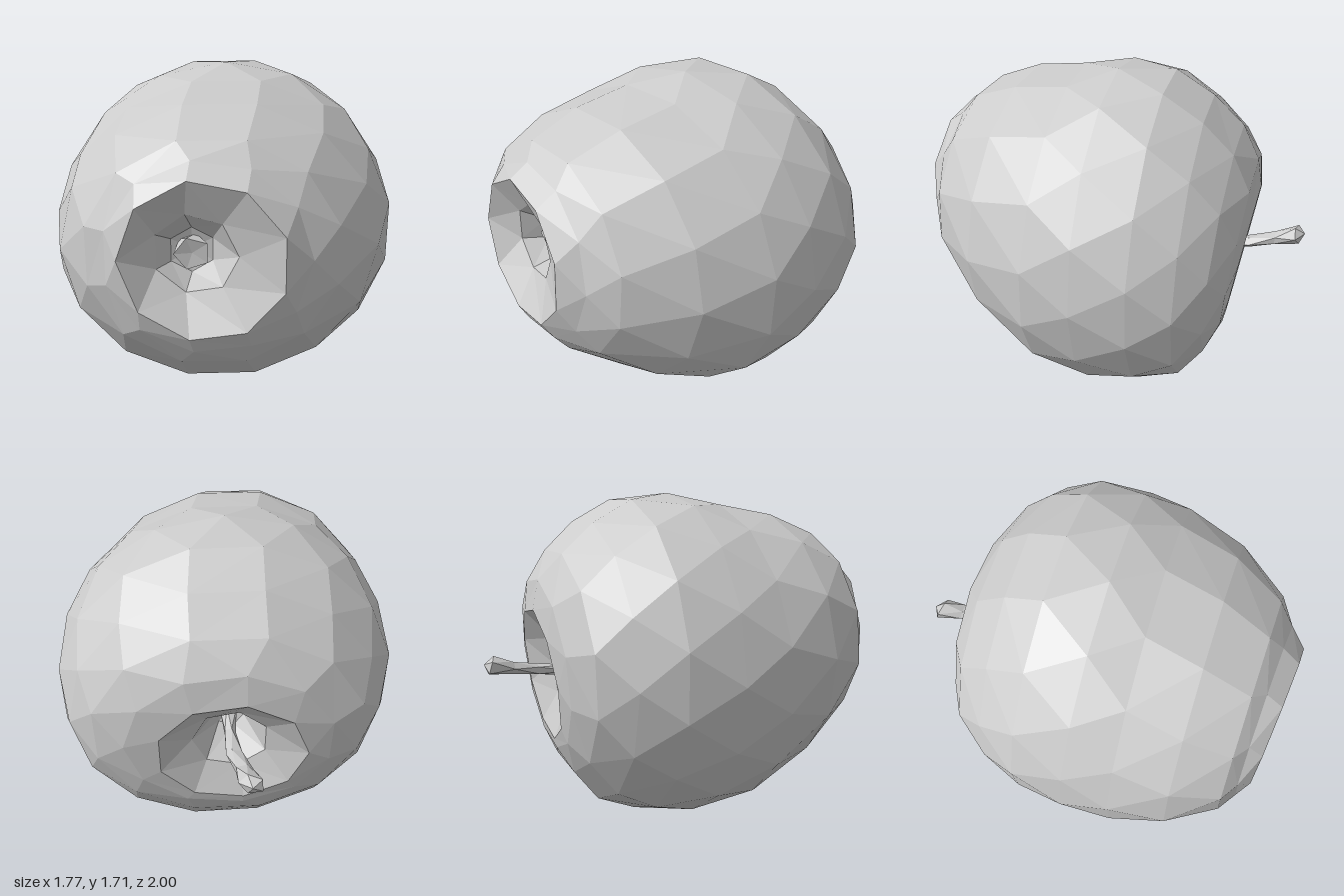
import * as THREE from 'three';

// Points of one ring: n corners, ellipse (rx, ry) about (cx, cy) at depth z, tilted by tx, ty
function ringPoints([n, z, cx, cy, rx = 0, ry = rx, tx = 0, ty = 0], offset) {
  return Array.from({ length: n }, (_, i) => {
    const a = ((i + offset) / n) * Math.PI * 2;
    const dx = rx * Math.cos(a), dy = ry * Math.sin(a);
    return [cx + dx, cy + dy, z + tx * dx + ty * dy];
  });
}

// Skin a list of rings, ordered front to back, whose corner counts may differ
function loft(name, rings) {
  const offsets = rings.map((_, k) => (k % 2) * 0.5);
  const loops = rings.map((r, k) => ringPoints(r, offsets[k]));
  const pos = [];
  for (let k = 0; k < loops.length - 1; k++) {
    const A = loops[k], B = loops[k + 1], na = A.length, nb = B.length;
    let i = 0, j = 0;
    while (i < na || j < nb) {
      const a = A[i % na], b = B[j % nb];
      const nextA = (i + 1 + offsets[k]) / na, nextB = (j + 1 + offsets[k + 1]) / nb;
      if (j >= nb || (i < na && nextA <= nextB)) {
        if (na > 1) pos.push(...a, ...b, ...A[(i + 1) % na]);
        i++;
      } else {
        if (nb > 1) pos.push(...a, ...b, ...B[(j + 1) % nb]);
        j++;
      }
    }
  }
  const geometry = new THREE.BufferGeometry();
  geometry.setAttribute('position', new THREE.Float32BufferAttribute(pos, 3));
  geometry.computeVertexNormals();
  const material = new THREE.MeshStandardMaterial({
    color: 0xcccccc, flatShading: true, side: THREE.DoubleSide,
  });
  const mesh = new THREE.Mesh(geometry, material);
  mesh.name = name;
  return mesh;
}

export function createModel() {
  const group = new THREE.Group();
  group.name = 'apple';

  // Fruit lying on its side: blossom hollow, flesh, then stem hollow
  group.add(loft('fruit', [
    [1, 0.67, -0.21, 0.98],
    [6, 0.69, -0.21, 0.98, 0.11],
    [7, 0.84, -0.2, 1.02, 0.19, 0.185, 0.22, -0.05],
    [9, 0.94, -0.17, 1.02, 0.37, 0.36, 0.14, -0.08],
    [11, 0.875, -0.15, 1.01, 0.46, 0.43, 0.1, -0.13],
    [12, 0.8, -0.12, 0.995, 0.58, 0.525, 0.06, -0.1],
    [14, 0.55, -0.07, 0.93, 0.76, 0.69, 0.03, -0.07],
    [16, 0.25, -0.02, 0.86, 0.865, 0.81, 0, -0.04],
    [16, 0, -0.005, 0.857, 0.885, 0.857],
    [16, -0.26, 0.005, 0.865, 0.86, 0.83],
    [14, -0.46, 0.02, 0.85, 0.78, 0.735],
    [12, -0.6, 0.02, 0.86, 0.67, 0.58, 0.02, -0.03],
    [11, -0.68, 0.02, 0.85, 0.51, 0.445, 0.03, -0.08],
    [9, -0.7, 0.01, 0.8, 0.37, 0.345, 0.04, -0.13],
    [7, -0.6, 0.01, 0.81, 0.19, 0.19, 0.05, -0.08],
    [5, -0.42, 0, 0.81, 0.07],
    [1, -0.4, 0, 0.81],
  ]));

  // Small dried blossom stub at the bottom of the front hollow
  group.add(loft('blossom', [
    [1, 0.73, -0.21, 0.98],
    [5, 0.74, -0.21, 0.98, 0.085, 0.08],
    [5, 0.66, -0.21, 0.98, 0.07],
  ]));

  // Bent stem that widens towards its cut end
  group.add(loft('stem', [
    [5, -0.4, 0, 0.81, 0.045],
    [5, -0.55, 0.01, 0.805, 0.03],
    [5, -0.72, 0, 0.825, 0.042, 0.03],
    [5, -0.85, -0.03, 0.852, 0.044, 0.032],
    [5, -0.965, -0.055, 0.875, 0.06, 0.048, 0.2, 0.3],
    [1, -1, -0.055, 0.885],
  ]));

  return group;
}
